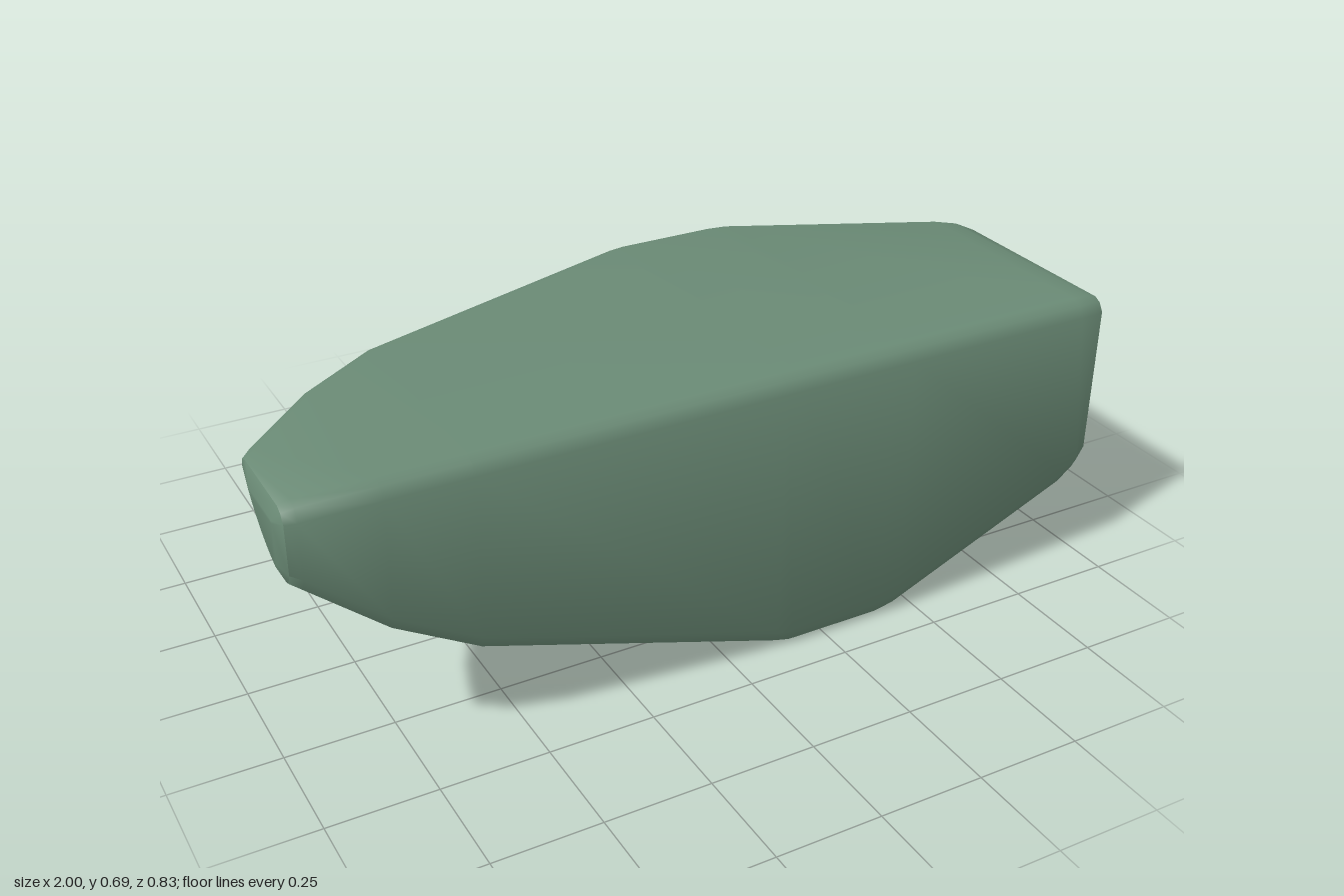
import * as THREE from 'three';
import { toCreasedNormals } from 'three/addons/utils/BufferGeometryUtils.js';

const TOP = 0.692, FRONT = 0.415, BEVEL = 0.035, ARC_STEPS = 10;

// Stations along x: [x, lowest y, rearmost z, inset of the top and front faces]
const STATIONS = [
  [-1, 0.55, 0.24, 0.035], [-0.985, 0.515, 0.155, 0.008], [-0.96, 0.495, 0.13, 0],
  [-0.79, 0.35, -0.04, 0], [-0.6, 0.24, -0.17, 0],
  [0.12, 0.01, -0.41, 0], [0.16, 0, -0.417, 0], [0.4, 0, -0.417, 0], [0.45, 0.01, -0.41, 0],
  [0.92, 0.21, -0.19, 0], [0.96, 0.24, -0.155, 0], [0.985, 0.27, -0.11, 0.008], [1, 0.32, -0.05, 0.035],
];

// Wedge cross-section: flat top and front, bulging underside, bevelled corners
function section([x, bottom, back, inset]) {
  const top = TOP - inset, front = FRONT - inset;
  const r = BEVEL - inset * 0.8, s = r * 0.3;
  const points = [
    [front, top - r], [front - s * 1.4, top - s], [front - r, top],
    [back + r, top], [back + s * 0.6, top - s],
  ];
  // Underside arc from the rear tip to the lower tip
  const a = new THREE.Vector2(back, top - r), b = new THREE.Vector2(front - r, bottom);
  const chord = b.clone().sub(a);
  const control = a.clone().add(b).multiplyScalar(0.5)
    .add(new THREE.Vector2(-Math.abs(chord.y), -Math.abs(chord.x)).multiplyScalar(0.147));
  const arc = new THREE.QuadraticBezierCurve(a, control, b);
  for (const p of arc.getPoints(ARC_STEPS)) points.push([p.x, p.y]);
  points.push([front - s * 1.4, bottom + s * 0.5], [front, bottom + r]);
  return points.map(([z, y]) => [x, y, z]);
}

// Skin the sections and close both ends
function loft(sections) {
  const n = sections[0].length, index = [];
  for (let i = 0; i < sections.length - 1; i++) {
    for (let j = 0; j < n; j++) {
      const k = (j + 1) % n;
      const a = i * n + j, b = i * n + k, c = b + n, d = a + n;
      index.push(a, d, b, b, d, c);
    }
  }
  const last = (sections.length - 1) * n;
  for (let j = 1; j < n - 1; j++) {
    index.push(0, j, j + 1, last, last + j + 1, last + j);
  }
  const geometry = new THREE.BufferGeometry();
  geometry.setAttribute('position', new THREE.Float32BufferAttribute(sections.flat(2), 3));
  geometry.setIndex(index);
  return toCreasedNormals(geometry, 0.7);
}

export function createModel() {
  const group = new THREE.Group();
  group.name = 'wedgeBlock';
  const material = new THREE.MeshStandardMaterial({ color: 0x6a8a75 });
  const body = new THREE.Mesh(loft(STATIONS.map(section)), material);
  body.name = 'wedgeBody';
  group.add(body);
  return group;
}
